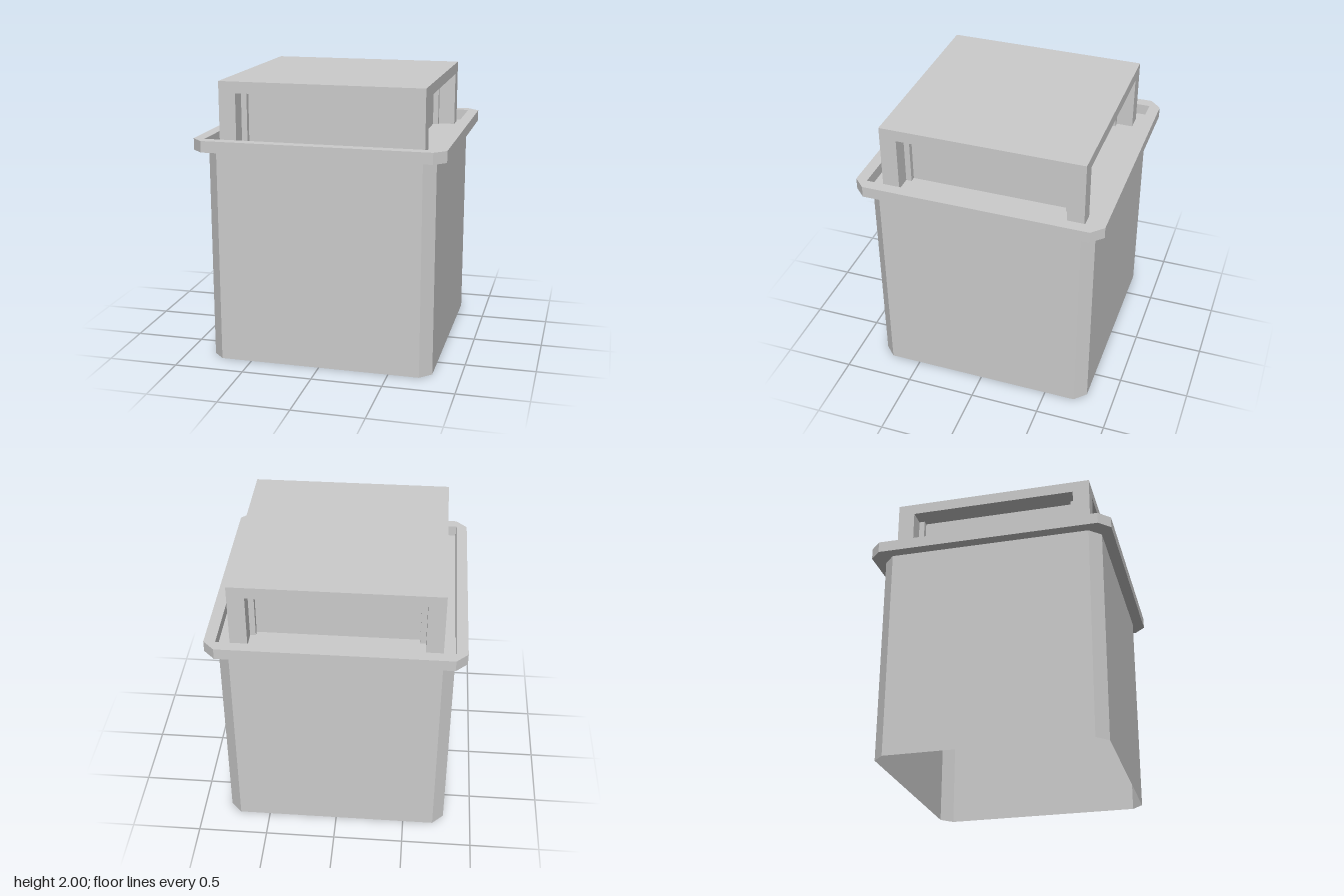
import * as THREE from 'three';

const material = new THREE.MeshStandardMaterial({ color: 0xcccccc, flatShading: true });
const thin = new THREE.MeshStandardMaterial({ color: 0xcccccc, flatShading: true, side: THREE.DoubleSide });

const RIM_BOTTOM = 1.53, RIM_TOP = 1.61, SLAB_BOTTOM = 1.92, TOP = 2;

// Square of half width h with corners cut by c
function chamferedSquare(h, c) {
  const k = h - c;
  return new THREE.Shape([[h, -k], [h, k], [k, h], [-k, h], [-h, k], [-h, -k], [-k, -h], [k, -h]]
    .map(([x, y]) => new THREE.Vector2(x, y)));
}

function add(parent, name, geometry, mat = material) {
  const mesh = new THREE.Mesh(geometry, mat);
  mesh.name = name;
  parent.add(mesh);
  return mesh;
}

// Upright square box between two heights
function block(parent, name, width, y0, y1, x = 0, z = 0) {
  add(parent, name, new THREE.BoxGeometry(width, y1 - y0, width)).position.set(x, (y0 + y1) / 2, z);
}

export function createModel() {
  const model = new THREE.Group();
  model.name = 'chimneyStack';

  // Body: thin shell, open below, with chamfered corners
  const body = new THREE.Group();
  body.name = 'body';
  model.add(body);
  for (let i = 0; i < 8; i++) {
    const corner = i % 2 === 1;
    const width = corner ? 0.08 * Math.SQRT2 : 1.44;
    const distance = corner ? 1.52 / Math.SQRT2 : 0.8;
    const geometry = new THREE.PlaneGeometry(width, RIM_BOTTOM);
    geometry.translate(0, RIM_BOTTOM / 2, distance);
    geometry.rotateY(i * Math.PI / 4);
    add(body, corner ? 'cornerChamfer' : 'bodyWall', geometry, thin);
  }

  // Floor inside the rim, closing the body
  const floor = new THREE.ShapeGeometry(chamferedSquare(0.84, 0.08));
  floor.rotateX(-Math.PI / 2);
  add(model, 'topFloor', floor, thin).position.y = RIM_BOTTOM;

  // Raised rim with a square opening
  const rimShape = chamferedSquare(0.88, 0.08);
  rimShape.holes.push(new THREE.Path([[-0.8, -0.8], [-0.8, 0.8], [0.8, 0.8], [0.8, -0.8]]
    .map(([x, y]) => new THREE.Vector2(x, y))));
  const rim = new THREE.ExtrudeGeometry(rimShape, { depth: RIM_TOP - RIM_BOTTOM, bevelEnabled: false });
  rim.rotateX(-Math.PI / 2);
  add(model, 'rim', rim).position.y = RIM_BOTTOM;

  // Cap: roof slab on corner pillars around a recessed core
  const cap = new THREE.Group();
  cap.name = 'cap';
  model.add(cap);
  block(cap, 'roofSlab', 1.44, SLAB_BOTTOM, TOP);
  block(cap, 'core', 1.12, RIM_BOTTOM, SLAB_BOTTOM);
  for (const sx of [-1, 1]) {
    for (const sz of [-1, 1]) {
      block(cap, 'cornerPillar', 0.12, RIM_BOTTOM, SLAB_BOTTOM, sx * 0.66, sz * 0.66);
      block(cap, 'innerPost', 0.04, RIM_BOTTOM, SLAB_BOTTOM, sx * 0.58, sz * 0.58);
    }
  }
  return model;
}
